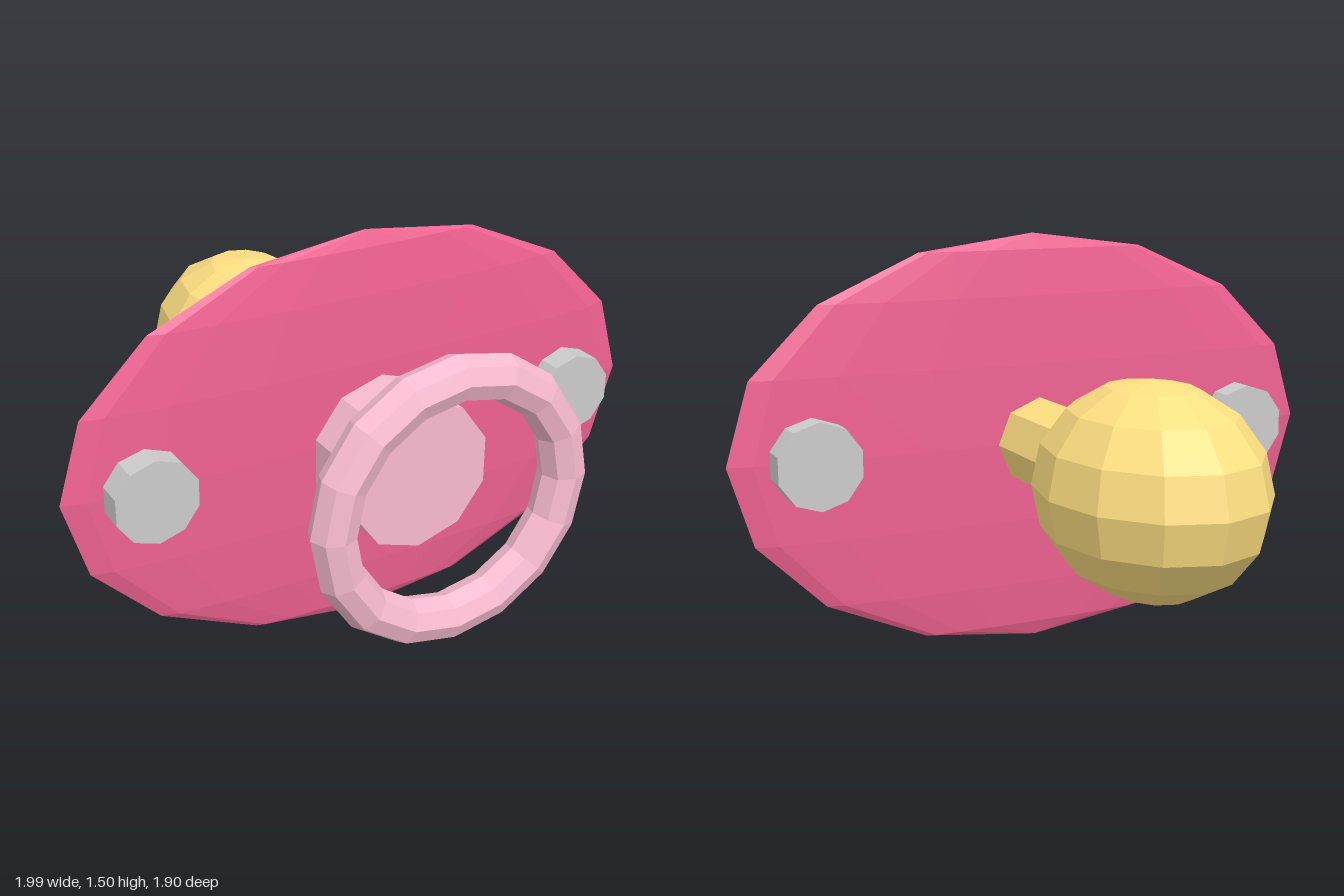
import * as THREE from 'three';

export function createModel() {
  const root = new THREE.Group();
  const body = new THREE.Group();
  body.name = 'pacifier';
  // whole object is turned about y; local +z runs from teat to ring
  body.position.set(0.19, 0.75, 0);
  body.rotation.y = 1;
  root.add(body);

  const mat = (color) => new THREE.MeshStandardMaterial({ color, flatShading: true });
  const shieldPink = mat(0xf06292);
  const palePink = mat(0xf8bbd0);
  const teatYellow = mat(0xffe082);
  const grey = mat(0xcccccc);

  const add = (name, geometry, material, x, z) => {
    const mesh = new THREE.Mesh(geometry, material);
    mesh.name = name;
    mesh.position.set(x, 0, z);
    body.add(mesh);
    return mesh;
  };
  // cylinder lying along local z
  const rod = (radius, length, sides) =>
    new THREE.CylinderGeometry(radius, radius, length, sides).rotateX(Math.PI / 2);

  // thin oval mouth shield
  add('shield', new THREE.SphereGeometry(1, 16, 8).scale(1.129, 0.75, 0.06), shieldPink, 0, 0);

  // teat: bulb and neck
  add('teatBulb', new THREE.SphereGeometry(1, 12, 8).scale(0.357, 0.353, 0.465), teatYellow, 0, -0.89);
  add('teatNeck', rod(0.163, 0.65, 8), teatYellow, 0, -0.325);

  // front plug and floating ring handle
  add('plug', rod(0.27, 0.26, 10), palePink, 0, 0.26);
  add('ringHandle', new THREE.TorusGeometry(0.443, 0.08, 8, 16), palePink, 0, 0.575);

  // studs passing through both ends of the shield
  for (const side of [-1, 1]) {
    add(side < 0 ? 'rightStud' : 'leftStud', rod(0.154, 0.26, 10), grey, side * 0.84, 0);
  }
  return root;
}
